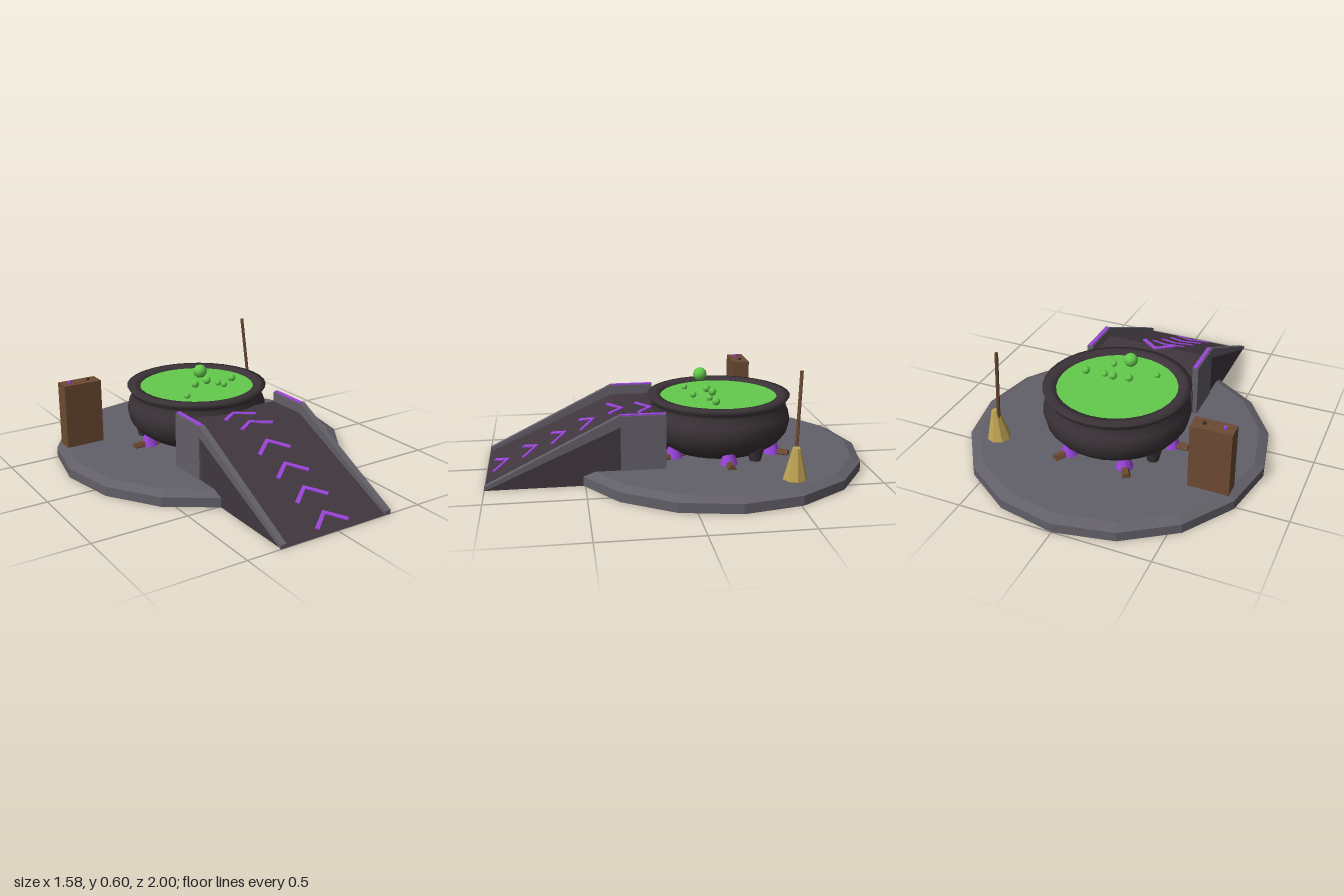
import * as THREE from 'three';

const mat = (name, color, extra = {}) => {
  const m = new THREE.MeshStandardMaterial({ color, ...extra });
  m.name = name;
  return m;
};

export function createModel() {
  const root = new THREE.Group();
  root.name = 'cauldronWithRamp';

  const stone = mat('stone', 0x625f68, { flatShading: true });
  const slab = mat('darkSlab', 0x40373e, { flatShading: true });
  const iron = mat('iron', 0x3b3338);
  const brew = mat('greenBrew', 0x64cb4c);
  const purple = mat('purpleGlow', 0x9c45dc);
  const wood = mat('wood', 0x6b4a33, { flatShading: true });
  const straw = mat('straw', 0xbfa352, { flatShading: true });
  const darkWood = mat('darkWood', 0x49352c);

  const add = (name, geo, material, x = 0, y = 0, z = 0, parent = root) => {
    const m = new THREE.Mesh(geo, material);
    m.name = name;
    m.position.set(x, y, z);
    parent.add(m);
    return m;
  };
  const box = (w, h, d) => new THREE.BoxGeometry(w, h, d);

  // Side profile given as [z, y] points, extruded across x and centred on it
  const sideProfile = (pts, width) => {
    const shape = new THREE.Shape(pts.map(([z, y]) => new THREE.Vector2(z, y)));
    const g = new THREE.ExtrudeGeometry(shape, { depth: width, bevelEnabled: false });
    return g.rotateY(-Math.PI / 2).translate(width / 2, 0, 0);
  };

  // Sixteen-sided stone base with a chamfered rim
  const baseZ = -0.21;
  add('baseSide', new THREE.CylinderGeometry(0.79, 0.79, 0.05, 16), stone, 0, 0.025, baseZ);
  add('baseTop', new THREE.CylinderGeometry(0.74, 0.79, 0.022, 16), stone, 0, 0.061, baseZ);

  // Cauldron: bulging pot with a flared flat rim
  const pot = new THREE.Group();
  pot.name = 'cauldron';
  pot.position.set(0, 0, -0.235);
  root.add(pot);
  const profile = [
    [0, 0.072], [0.2, 0.074], [0.27, 0.09], [0.335, 0.135], [0.37, 0.18], [0.384, 0.24],
    [0.375, 0.285], [0.356, 0.325], [0.366, 0.345], [0.383, 0.372], [0.35, 0.375],
    [0.315, 0.37], [0.308, 0.34],
  ].map(([r, y]) => new THREE.Vector2(r, y));
  add('potBody', new THREE.LatheGeometry(profile, 32), iron, 0, 0, 0, pot);
  add('brewSurface', new THREE.CircleGeometry(0.314, 32).rotateX(-Math.PI / 2), brew, 0, 0.36, 0, pot);

  // Three stubby feet
  for (let i = 0; i < 3; i++) {
    const a = (i * 2 * Math.PI) / 3;
    add('foot', new THREE.CylinderGeometry(0.05, 0.03, 0.08, 8), iron,
      Math.sin(a) * 0.3, 0.11, Math.cos(a) * 0.3, pot);
  }

  // Six flames, each with a radial log below it
  for (let i = 0; i < 6; i++) {
    const spoke = new THREE.Group();
    spoke.name = 'fireSpoke';
    spoke.rotation.y = (i * Math.PI) / 3;
    pot.add(spoke);
    add('flame', new THREE.ConeGeometry(0.047, 0.17, 8), purple, 0.302, 0.155, 0, spoke);
    add('log', new THREE.CylinderGeometry(0.022, 0.022, 0.2, 6).rotateZ(Math.PI / 2), wood,
      0.295, 0.077, 0, spoke);
  }

  // Bubbles: x, y, z, radius
  for (const [x, y, z, r] of [
    [-0.035, 0.47, -0.14, 0.037], [-0.155, 0.37, -0.075, 0.017], [0.042, 0.39, -0.195, 0.022],
    [0.1, 0.372, -0.17, 0.017], [0.085, 0.39, -0.085, 0.017], [0.2, 0.38, -0.185, 0.021],
    [-0.042, 0.387, -0.18, 0.021],
  ]) add('bubble', new THREE.IcosahedronGeometry(r, 1), brew, x, y, z);

  // Ramp: sloped wedge running into a flat landing
  const rise = 0.305, topZ = 0.32;
  add('rampSlope', sideProfile([[1, 0], [topZ, rise], [topZ, 0]], 0.636), slab);
  add('landing', box(0.6, rise, 0.23), slab, 0, rise / 2, 0.205);
  for (const s of [-1, 1]) {
    add('rampCurb', sideProfile([[1, 0], [1, 0.02], [topZ, 0.36], [topZ, 0.3]], 0.032), stone, s * 0.308);
    add('landingWall', box(0.032, 0.356, 0.23), stone, s * 0.308, 0.178, 0.205);
    add('wallGlow', box(0.02, 0.008, 0.23), purple, s * 0.307, 0.358, 0.205);
  }

  // Arrow markings: two flat on the landing, four on the slope
  const chevron = (len) => {
    const shape = new THREE.Shape([
      [0, 0], [0.1, len], [0.086, len + 0.016], [0, 0.024], [-0.086, len + 0.016], [-0.1, len],
    ].map(([x, y]) => new THREE.Vector2(x, y)));
    return new THREE.ExtrudeGeometry(shape, { depth: 0.008, bevelEnabled: false })
      .rotateX(Math.PI / 2).translate(0, 0.006, 0);
  };
  const slope = Math.atan2(rise, 1 - topZ);
  for (let i = 0; i < 6; i++) {
    const z = 0.122 + i * 0.152;
    const flat = i < 2;
    const y = flat ? rise : (rise * (1 - z)) / (1 - topZ);
    const m = add('arrowMarking', chevron(flat ? 0.075 : 0.08), purple, 0, y, z);
    if (!flat) m.rotation.x = slope;
  }

  // Wooden cabinet with two small knobs on top
  add('cabinet', box(0.21, 0.35, 0.09), wood, -0.595, 0.245, -0.47);
  add('purpleKnob', new THREE.CylinderGeometry(0.01, 0.01, 0.016, 8), purple, -0.652, 0.424, -0.47);
  add('darkKnob', new THREE.CylinderGeometry(0.01, 0.01, 0.016, 8), darkWood, -0.547, 0.424, -0.47);

  // Broom standing on its bristles
  const head = add('broomHead', new THREE.CylinderGeometry(0.02, 0.062, 0.165, 8), straw, 0.561, 0.152, -0.513);
  head.rotation.z = -0.06;
  const from = new THREE.Vector3(0.55, 0.15, -0.515), to = new THREE.Vector3(0.508, 0.603, -0.542);
  const dir = to.clone().sub(from);
  const mid = from.clone().lerp(to, 0.5);
  const handle = add('broomHandle', new THREE.CylinderGeometry(0.009, 0.009, dir.length(), 6), wood, mid.x, mid.y, mid.z);
  handle.quaternion.setFromUnitVectors(new THREE.Vector3(0, 1, 0), dir.normalize());

  return root;
}
